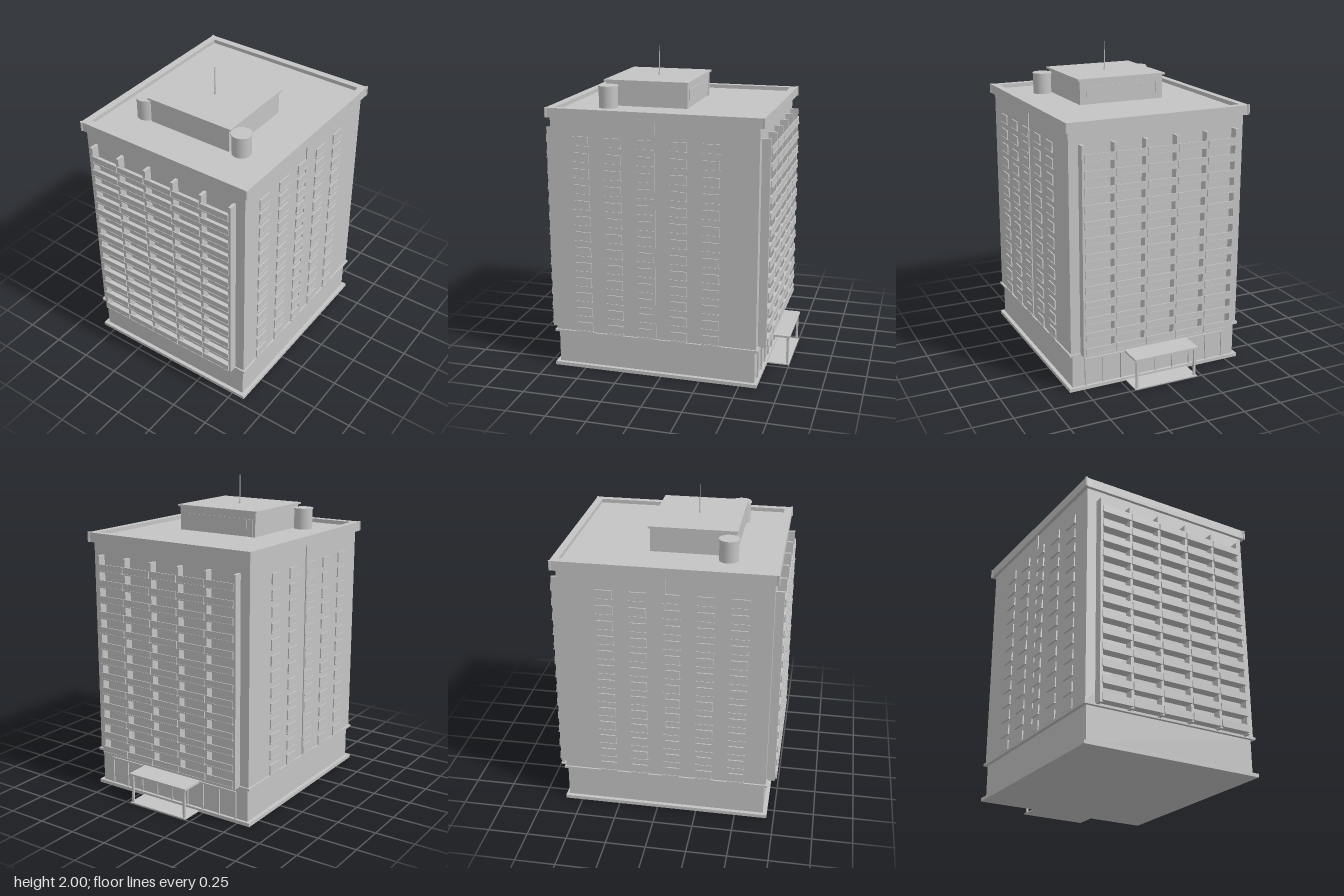
import * as THREE from 'three';

const concrete = new THREE.MeshStandardMaterial({ color: 0xc4c4c4 });
concrete.name = 'concrete grey';

// Box given by its min and max on each axis
function box(parent, name, x0, x1, y0, y1, z0, z1) {
  const mesh = new THREE.Mesh(new THREE.BoxGeometry(x1 - x0, y1 - y0, z1 - z0), concrete);
  mesh.position.set((x0 + x1) / 2, (y0 + y1) / 2, (z0 + z1) / 2);
  mesh.name = name;
  parent.add(mesh);
  return mesh;
}

function cylinder(parent, name, rTop, rBottom, y0, y1, x, z, sides = 24) {
  const mesh = new THREE.Mesh(new THREE.CylinderGeometry(rTop, rBottom, y1 - y0, sides), concrete);
  mesh.position.set(x, (y0 + y1) / 2, z);
  mesh.name = name;
  parent.add(mesh);
  return mesh;
}

function subgroup(parent, name) {
  const g = new THREE.Group();
  g.name = name;
  parent.add(g);
  return g;
}

const ROWS = 13, PITCH = 0.1, FIRST = 0.248;
const BACK = -0.6, FRONT = 0.69, SIDE = 0.577;

// Fins and balconies, built outward along +z from z = 0
function balconyWall(parent, name) {
  const wall = subgroup(parent, name);
  for (let i = 0; i < 6; i++) {
    const x = -0.506 + i * 0.2024;
    box(wall, 'fin', x - 0.009, x + 0.009, 0.24, 1.545, -0.005, 0.052);
  }
  for (let bay = 0; bay < 5; bay++) {
    const x = -0.4048 + bay * 0.2024;
    for (let r = 0; r < ROWS; r++) {
      const y = FIRST + r * PITCH;
      box(wall, 'balconySlab', x - 0.097, x + 0.097, y, y + 0.008, -0.005, 0.064);
      box(wall, 'balconyRailing', x - 0.097, x + 0.097, y + 0.007, y + 0.047, 0.054, 0.061);
    }
  }
  return wall;
}

// Window surrounds and central fin on one side wall
function sideWall(parent, name, s) {
  const wall = subgroup(parent, name);
  const side = (n, a, b, y0, y1, z0, z1) =>
    box(wall, n, Math.min(s * a, s * b), Math.max(s * a, s * b), y0, y1, z0, z1);
  side('sideFin', SIDE - 0.005, SIDE + 0.007, 0.24, 1.625, 0.03, 0.055);
  for (const z of [-0.315, -0.113, 0.091, 0.295, 0.498]) {
    for (let r = 0; r < ROWS; r++) {
      const y = FIRST + r * PITCH;
      side('window', SIDE - 0.005, SIDE + 0.008, y + 0.005, y + 0.062, z - 0.051, z + 0.051);
      side('windowSill', SIDE - 0.005, SIDE + 0.012, y, y + 0.007, z - 0.054, z + 0.054);
    }
  }
}

export function createModel() {
  const model = new THREE.Group();
  model.name = 'apartmentTower';

  // Base and main volume
  box(model, 'plinth', -0.59, 0.59, 0, 0.022, -0.61, 0.705);
  box(model, 'podium', -0.565, 0.565, 0.02, 0.235, -0.592, 0.68);
  box(model, 'podiumLedge', -0.588, 0.588, 0.232, 0.247, -0.61, 0.7);
  box(model, 'tower', -SIDE, SIDE, 0.245, 1.63, BACK, FRONT);

  // Facades
  balconyWall(model, 'frontBalconies').position.z = FRONT;
  const rear = balconyWall(model, 'rearBalconies');
  rear.rotation.y = Math.PI;
  rear.position.z = BACK;
  for (const s of [-1, 1]) sideWall(model, s > 0 ? 'leftWall' : 'rightWall', s);

  // Roof with a raised parapet
  const roof = subgroup(model, 'roof');
  box(roof, 'roofDeck', -0.57, 0.57, 1.62, 1.655, -0.6, 0.68);
  for (const s of [-1, 1]) {
    box(roof, 'sideParapet', s > 0 ? 0.555 : -0.6, s > 0 ? 0.6 : -0.555, 1.62, 1.68, -0.63, 0.71);
    for (const z of [-0.627, 0.707]) cylinder(roof, 'parapetCorner', 0.009, 0.009, 1.621, 1.682, s * 0.596, z, 10);
  }
  box(roof, 'frontParapet', -0.556, 0.556, 1.62, 1.68, 0.66, 0.71);
  box(roof, 'rearParapet', -0.556, 0.556, 1.62, 1.68, -0.63, -0.585);

  // Penthouse, tanks and mast
  box(roof, 'penthouse', -0.285, 0.285, 1.65, 1.807, -0.09, 0.43);
  box(roof, 'penthouseRoof', -0.3, 0.3, 1.805, 1.817, -0.1, 0.44);
  box(roof, 'penthousePanel', -0.225, 0.24, 1.7, 1.765, -0.094, -0.088);
  box(roof, 'penthouseDoor', -0.265, -0.235, 1.655, 1.765, -0.095, -0.088);
  for (const s of [-1, 1]) {
    cylinder(roof, 'tank', 0.059, 0.059, 1.65, 1.785, s * 0.347, 0.395);
    cylinder(roof, 'tankLid', 0.063, 0.063, 1.78, 1.79, s * 0.347, 0.395);
  }
  cylinder(roof, 'mastFoot', 0.006, 0.008, 1.815, 1.83, 0, 0.17, 10);
  cylinder(roof, 'mast', 0.002, 0.004, 1.815, 2.0, 0, 0.17, 8);

  // Rear entrance: glazing frames, platform and canopy
  const entrance = subgroup(model, 'entrance');
  for (let i = -4; i <= 4; i++) {
    box(entrance, 'mullion', i * 0.12 - 0.005, i * 0.12 + 0.005, 0.02, 0.2, -0.601, -0.59);
  }
  box(entrance, 'lintel', -0.485, 0.485, 0.19, 0.2, -0.601, -0.59);
  box(entrance, 'platform', -0.215, 0.215, 0, 0.008, -0.75, -0.6);
  box(entrance, 'canopy', -0.217, 0.217, 0.19, 0.203, -0.752, -0.59);
  for (const s of [-1, 1]) {
    box(entrance, 'canopyPost', s * 0.2 - 0.007, s * 0.2 + 0.007, 0.005, 0.195, -0.744, -0.73);
  }
  return model;
}
